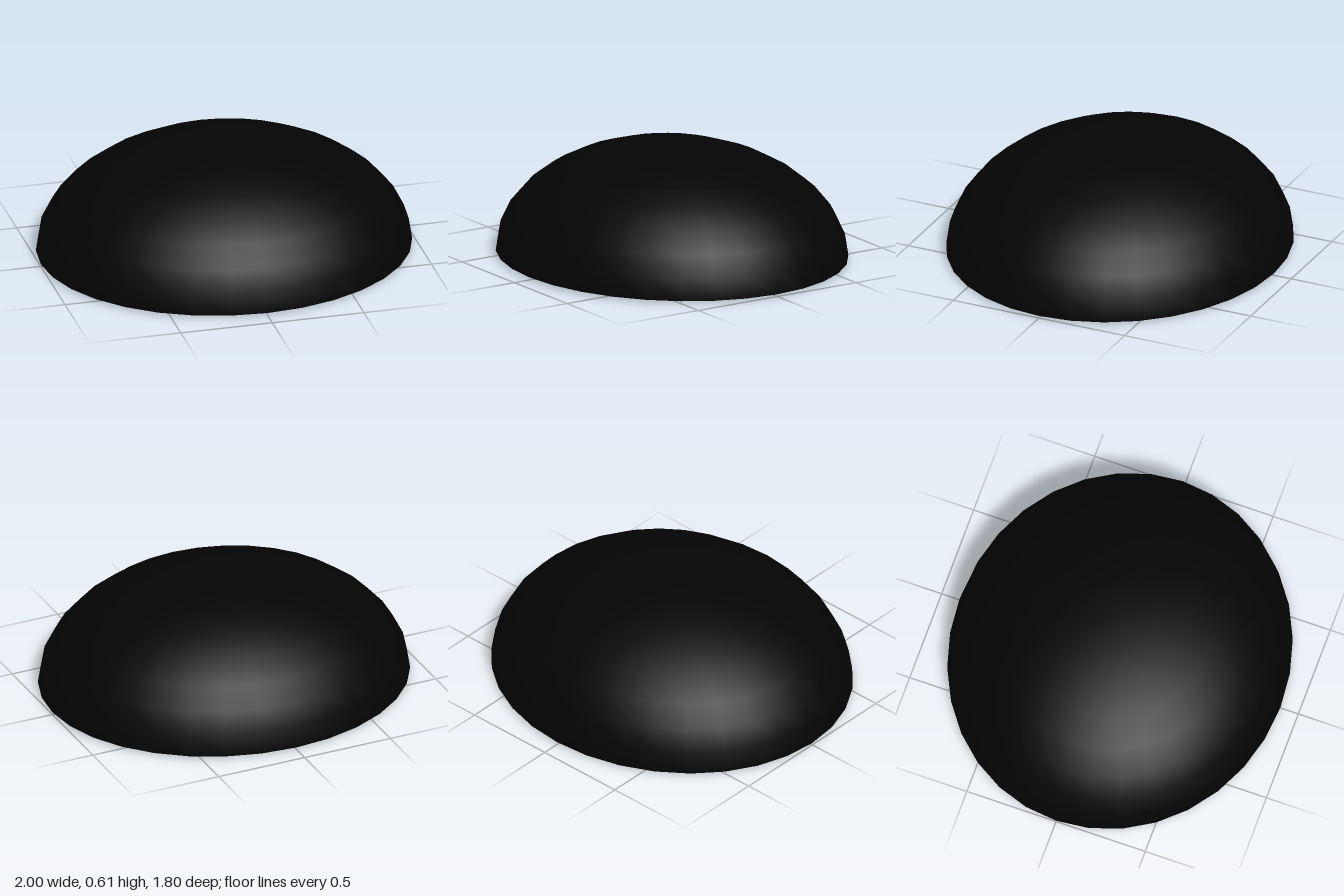
import * as THREE from 'three';

const black = new THREE.MeshStandardMaterial({ color: 0x040404, side: THREE.DoubleSide });
black.name = 'black';
const stone = new THREE.MeshStandardMaterial({ color: 0x707070 });
stone.name = 'stone grey';

const WALL_TOP = 0.1, LIP = 0.012, THICK = 0.016;

function box(name, material, w, h, d, x, y, z) {
  const mesh = new THREE.Mesh(new THREE.BoxGeometry(w, h, d), material);
  mesh.name = name;
  mesh.position.set(x, y, z);
  return mesh;
}

// One straight wall: a dark panel standing on a grey sill
function wall([x0, z0], [x1, z1]) {
  const g = new THREE.Group();
  g.name = 'wall';
  const w = Math.abs(x1 - x0) + THICK, d = Math.abs(z1 - z0) + THICK;
  const x = (x0 + x1) / 2, z = (z0 + z1) / 2;
  g.add(box('wallPanel', black, w, WALL_TOP - LIP, d, x, (WALL_TOP + LIP) / 2, z));
  g.add(box('wallSill', stone, w, LIP, d, x, LIP / 2, z));
  return g;
}

// Runs of wall in plan, as x, z corners
const runs = [
  // east room
  [[0.58, 0.04], [0.75, 0.04], [0.75, 0.44], [0.42, 0.44]],
  [[0.64, 0.40], [0.64, 0.21], [0.70, 0.21]],
  // passage to the hall
  [[0.58, 0.04], [0.58, 0.10], [0.04, 0.10]],
  // south-east room
  [[0.38, 0.29], [0.38, 0.52], [0.15, 0.52], [0.15, 0.30], [0, 0.30]],
  [[0.38, 0.29], [0.25, 0.29]],
  // south room
  [[-0.03, 0.30], [-0.03, 0.56], [-0.45, 0.56], [-0.45, 0.39]],
  [[-0.06, 0.43], [-0.11, 0.43], [-0.11, 0.29], [-0.2, 0.29]],
  // west room
  [[-0.45, 0.40], [-0.67, 0.40], [-0.67, 0.09]],
  [[-0.43, 0.38], [-0.43, 0.16], [-0.6, 0.16]],
  // hall
  [[0.03, -0.09], [0.03, 0.13], [-0.31, 0.13], [-0.31, 0.07]],
  [[-0.05, 0.04], [-0.05, -0.12], [-0.16, -0.12]],
  [[-0.32, 0.07], [-0.37, 0.07], [-0.37, -0.25]],
  // north room
  [[-0.37, -0.25], [-0.37, -0.49], [-0.27, -0.49]],
  [[0.08, -0.46], [0.06, -0.46], [0.06, -0.19], [-0.08, -0.19]],
  [[-0.08, -0.28], [-0.08, -0.42], [-0.25, -0.42]],
  [[-0.2, -0.12], [-0.2, -0.3]],
  // north entry passage
  [[0.08, -0.47], [-0.08, -0.47], [-0.08, -0.8]],
  [[-0.16, -0.47], [-0.16, -0.8]],
];

// Grey corner posts
const posts = [
  [0.75, 0.04], [0.75, 0.44], [0.38, 0.29], [0.03, -0.09],
  [0.08, -0.46], [-0.37, -0.49], [-0.67, 0.09], [0.06, -0.19],
];

export function createModel() {
  const model = new THREE.Group();
  model.name = 'domedFloorPlan';

  // Open dome, slightly narrower front to back
  const dome = new THREE.Mesh(
    new THREE.SphereGeometry(1, 32, 8, 0, Math.PI * 2, 0, Math.PI / 2), black);
  dome.name = 'dome';
  dome.scale.set(1, 0.6, 0.9);
  dome.position.y = LIP;
  model.add(dome);

  const walls = new THREE.Group();
  walls.name = 'walls';
  for (const run of runs)
    for (let i = 1; i < run.length; i++) walls.add(wall(run[i - 1], run[i]));
  model.add(walls);

  for (const [x, z] of posts) {
    const post = new THREE.Mesh(new THREE.CylinderGeometry(0.013, 0.013, WALL_TOP, 8), stone);
    post.name = 'cornerPost';
    post.position.set(x, WALL_TOP / 2, z);
    model.add(post);
  }

  // Grey end face of the entry passage
  model.add(box('entryFace', stone, 0.1, WALL_TOP - LIP, 0.012, -0.12, (WALL_TOP + LIP) / 2, -0.804));
  return model;
}
